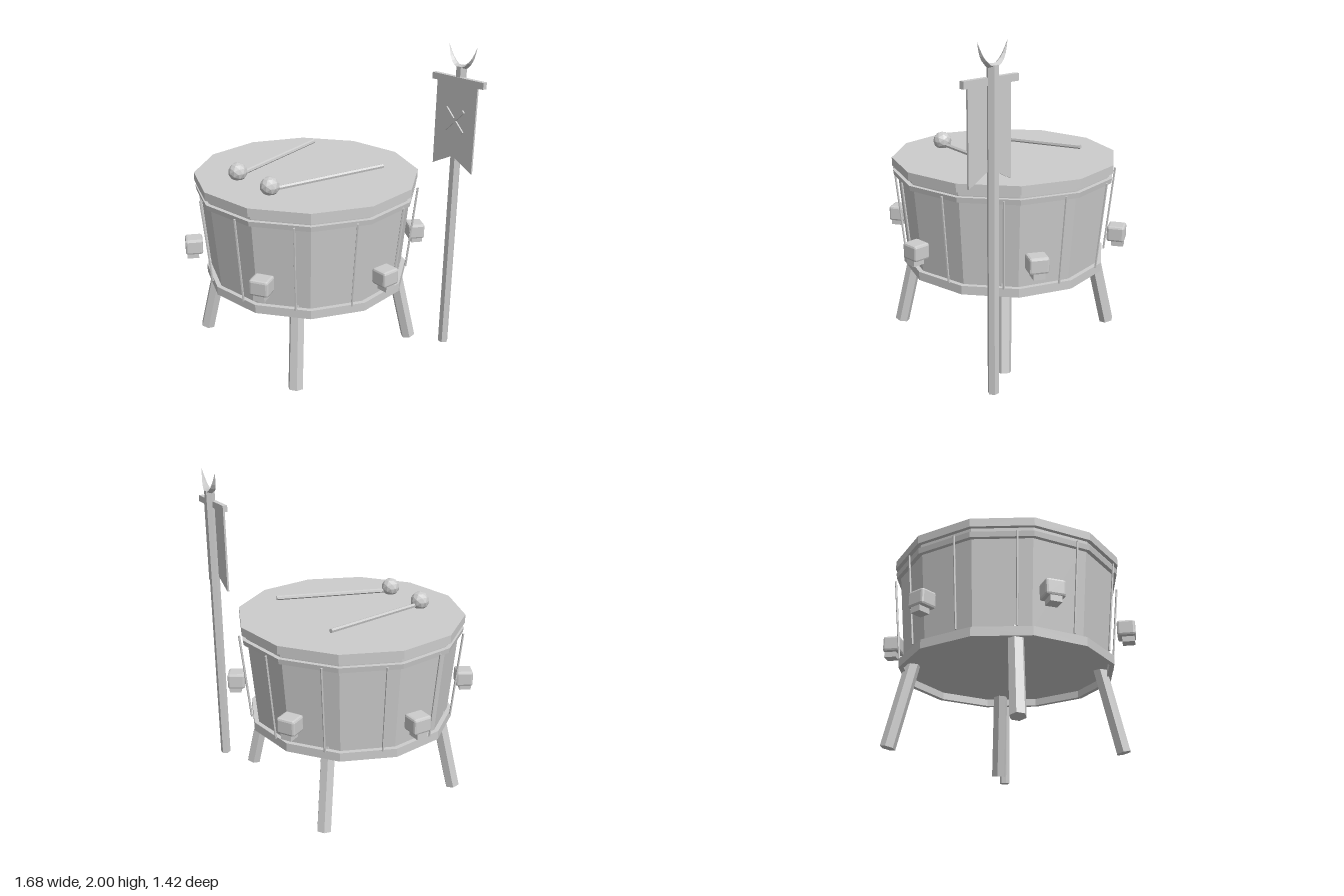
import * as THREE from 'three';
import { RoundedBoxGeometry } from 'three/addons/geometries/RoundedBoxGeometry.js';

const grey = new THREE.MeshStandardMaterial({ color: 0xcccccc, flatShading: true });
const SIDES = 12;
const TURN = THREE.MathUtils.degToRad(-7.2);

function part(parent, name, geometry, x = 0, y = 0, z = 0) {
  const mesh = new THREE.Mesh(geometry, grey);
  mesh.name = name;
  mesh.position.set(x, y, z);
  parent.add(mesh);
  return mesh;
}

// Straight round bar between two points
function bar(parent, name, from, to, radius, sides) {
  const a = new THREE.Vector3(...from), b = new THREE.Vector3(...to);
  const mesh = part(parent, name, new THREE.CylinderGeometry(radius, radius, a.distanceTo(b), sides));
  mesh.position.copy(a).add(b).multiplyScalar(0.5);
  mesh.quaternion.setFromUnitVectors(new THREE.Vector3(0, 1, 0), b.sub(a).normalize());
  return mesh;
}

function drumLayer(parent, name, rTop, rBottom, y0, y1) {
  return part(parent, name,
    new THREE.CylinderGeometry(rTop, rBottom, y1 - y0, SIDES, 1, false, TURN), 0, (y0 + y1) / 2, 0);
}

// Crescent: diamond cross-sections swept along a curve, tapering to both tips
function crescentGeometry() {
  const curve = new THREE.CatmullRomCurve3([
    [-0.105, 0.135], [-0.078, 0.065], [-0.04, 0.02], [0, 0.008], [0.04, 0.02], [0.078, 0.065], [0.105, 0.135],
  ].map(([x, y]) => new THREE.Vector3(x, y, 0)));
  const steps = 12, pos = [], index = [];
  for (let i = 0; i <= steps; i++) {
    const t = i / steps, p = curve.getPoint(t), d = curve.getTangent(t);
    const s = Math.sin(Math.PI * t);
    const w = 0.014 * s + 0.0005, h = 0.026 * s + 0.0005;
    pos.push(p.x - d.y * w, p.y + d.x * w, 0, p.x, p.y, h, p.x + d.y * w, p.y - d.x * w, 0, p.x, p.y, -h);
  }
  for (let i = 0; i < steps; i++) {
    for (let k = 0; k < 4; k++) {
      const a = i * 4 + k, b = i * 4 + (k + 1) % 4;
      index.push(a, b, a + 4, b, b + 4, a + 4);
    }
  }
  const g = new THREE.BufferGeometry();
  g.setAttribute('position', new THREE.Float32BufferAttribute(pos, 3));
  g.setIndex(index);
  g.computeVertexNormals();
  return g;
}

function addDrum(model) {
  const drum = new THREE.Group();
  drum.name = 'drum';
  drum.position.x = -0.05;
  model.add(drum);

  // Shell, hoops and skin
  drumLayer(drum, 'shell', 0.685, 0.63, 0.52, 1.125);
  drumLayer(drum, 'lowerHoop', 0.71, 0.705, 1.06, 1.092);
  drumLayer(drum, 'upperHoop', 0.69, 0.69, 1.1, 1.125);
  drumLayer(drum, 'skinRim', 0.715, 0.715, 1.123, 1.175);
  const ring = [[0.63, 0.475], [0.66, 0.475], [0.66, 0.53], [0.63, 0.53], [0.63, 0.475]];
  part(drum, 'baseHoop', new THREE.LatheGeometry(ring.map(p => new THREE.Vector2(...p)), SIDES, TURN));

  // Tension cords
  for (let i = 0; i < 12; i++) {
    const a = (i + 0.5) * Math.PI / 6, s = Math.sin(a), c = Math.cos(a);
    bar(drum, 'cord', [0.655 * s, 0.53, 0.655 * c], [0.71 * s, 1.085, 0.71 * c], 0.007, 5);
  }

  // Six blocks around the shell
  for (let i = 0; i < 6; i++) {
    const block = new THREE.Group();
    block.name = 'block';
    block.rotation.y = Math.PI / 6 + i * Math.PI / 3;
    part(block, 'blockBody', new RoundedBoxGeometry(0.12, 0.1, 0.11, 1, 0.014), 0, 0.717, 0.735);
    part(block, 'blockFoot', new THREE.BoxGeometry(0.07, 0.045, 0.075), 0, 0.656, 0.745);
    drum.add(block);
  }

  // Splayed legs
  for (const sx of [-1, 1]) for (const sz of [-1, 1]) {
    bar(drum, 'leg', [0.49 * sx, 0.012, 0.49 * sz], [0.405 * sx, 0.54, 0.405 * sz], 0.047, 6);
  }
}

function addBeaters(model) {
  for (const side of [-1, 1]) {
    const beater = new THREE.Group();
    beater.name = 'beater';
    const hx = -0.05 + side * 0.165, tx = -0.05 + side * 0.34;
    bar(beater, 'beaterStick', [hx, 1.195, 0.41], [tx, 1.222, -0.345], 0.014, 6);
    part(beater, 'beaterHead', new THREE.IcosahedronGeometry(0.06, 1), hx, 1.217, 0.415);
    model.add(beater);
  }
}

function addStandard(model) {
  const standard = new THREE.Group();
  standard.name = 'standard';
  standard.position.set(0.645, 0, -0.615);
  model.add(standard);

  const pole = new THREE.CylinderGeometry(0.033, 0.033, 1.865, 6);
  part(standard, 'pole', pole, 0, 0.9475, 0).rotation.y = Math.PI / 6;
  part(standard, 'crossbar', new THREE.BoxGeometry(0.388, 0.04, 0.03), 0, 1.797, 0.018);
  part(standard, 'crescent', crescentGeometry(), 0, 1.865, 0);

  // Swallow-tailed cloth
  const cloth = new THREE.Shape([[-0.153, 1.78], [-0.153, 1.25], [0, 1.33], [0.153, 1.25], [0.153, 1.78]]
    .map(p => new THREE.Vector2(...p)));
  part(standard, 'bannerCloth',
    new THREE.ExtrudeGeometry(cloth, { depth: 0.012, bevelEnabled: false }), 0, 0, 0.02);

  // Crossed strips on the cloth
  for (const side of [-1, 1]) {
    part(standard, 'crossStrip', new THREE.BoxGeometry(0.19, 0.02, 0.012), 0, 1.555, 0.037)
      .rotation.z = side * Math.PI / 4;
  }
}

export function createModel() {
  const model = new THREE.Group();
  model.name = 'warDrum';
  addDrum(model);
  addBeaters(model);
  addStandard(model);
  return model;
}
